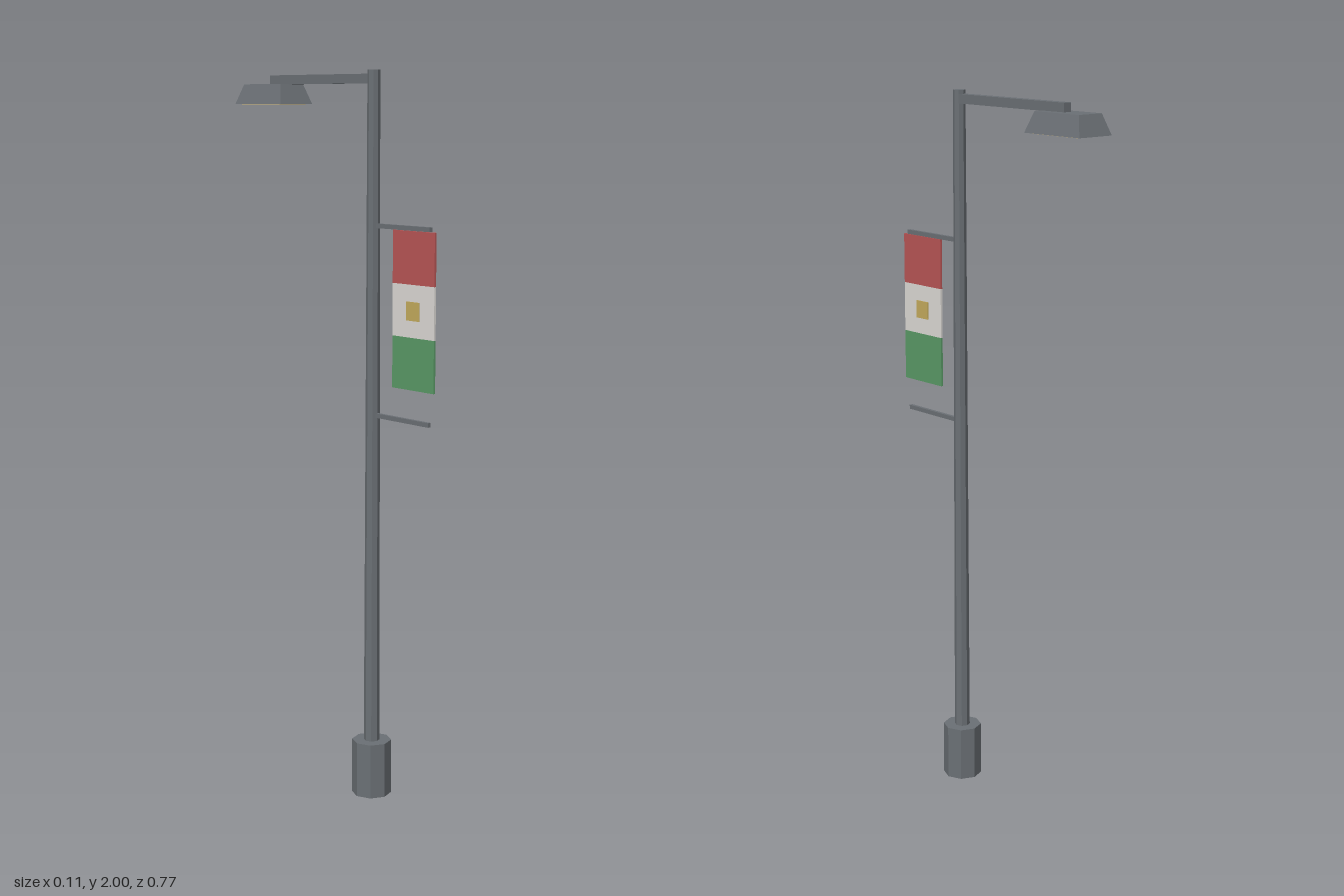
import * as THREE from 'three';

const paint = (color) => new THREE.MeshStandardMaterial({ color, flatShading: true });

export function createModel() {
  const model = new THREE.Group();
  const metal = paint(0x6b7075);
  const red = paint(0xb85555), white = paint(0xdddad6), green = paint(0x5a9a66);
  const gold = paint(0xc4ab5c), glow = paint(0xb5a888);

  const add = (name, geometry, material, x, y, z, parent = model) => {
    const mesh = new THREE.Mesh(geometry, material);
    mesh.name = name;
    mesh.position.set(x, y, z);
    parent.add(mesh);
    return mesh;
  };
  const box = (w, h, d) => new THREE.BoxGeometry(w, h, d);
  const poleZ = 0.142;

  // Octagonal base and slightly tapered pole
  add('base', new THREE.CylinderGeometry(0.055, 0.055, 0.155, 8), metal, 0, 0.0775, poleZ);
  add('pole', new THREE.CylinderGeometry(0.017, 0.022, 1.85, 8), metal, 0, 1.075, poleZ);

  // Lamp arm reaching backwards
  add('lampArm', box(0.025, 0.025, 0.422), metal, 0, 1.977, -0.069);

  // Lamp head: box whose top is pulled in to make sloping sides
  const lamp = new THREE.Group();
  lamp.name = 'lampHead';
  lamp.position.set(0, 1.938, -0.281);
  model.add(lamp);
  const hood = box(0.114, 0.055, 0.203);
  const p = hood.attributes.position;
  for (let i = 0; i < p.count; i++) {
    if (p.getY(i) > 0) {
      p.setX(i, p.getX(i) * 0.71);
      p.setZ(i, p.getZ(i) * 0.8);
    }
  }
  hood.computeVertexNormals();
  add('lampHood', hood, metal, 0, 0, 0, lamp);
  add('lampPanel', box(0.092, 0.004, 0.17), glow, 0, -0.0275, 0, lamp);

  // Two thin rods carrying the banner in front of the pole
  for (const [name, y] of [['upperRod', 1.592], ['lowerRod', 1.08]]) {
    add(name, box(0.01, 0.012, 0.223), metal, 0, y, 0.2535);
  }

  // Three-band banner with a small square in the middle
  const banner = new THREE.Group();
  banner.name = 'banner';
  banner.position.set(0, 1.375, 0.303);
  model.add(banner);
  [['bottomBand', green], ['middleBand', white], ['topBand', red]].forEach(([name, material], i) => {
    add(name, box(0.006, 0.14, 0.16), material, 0, (i - 1) * 0.14, 0, banner);
  });
  add('bannerSquare', box(0.011, 0.05, 0.05), gold, 0, 0, 0, banner);

  return model;
}
